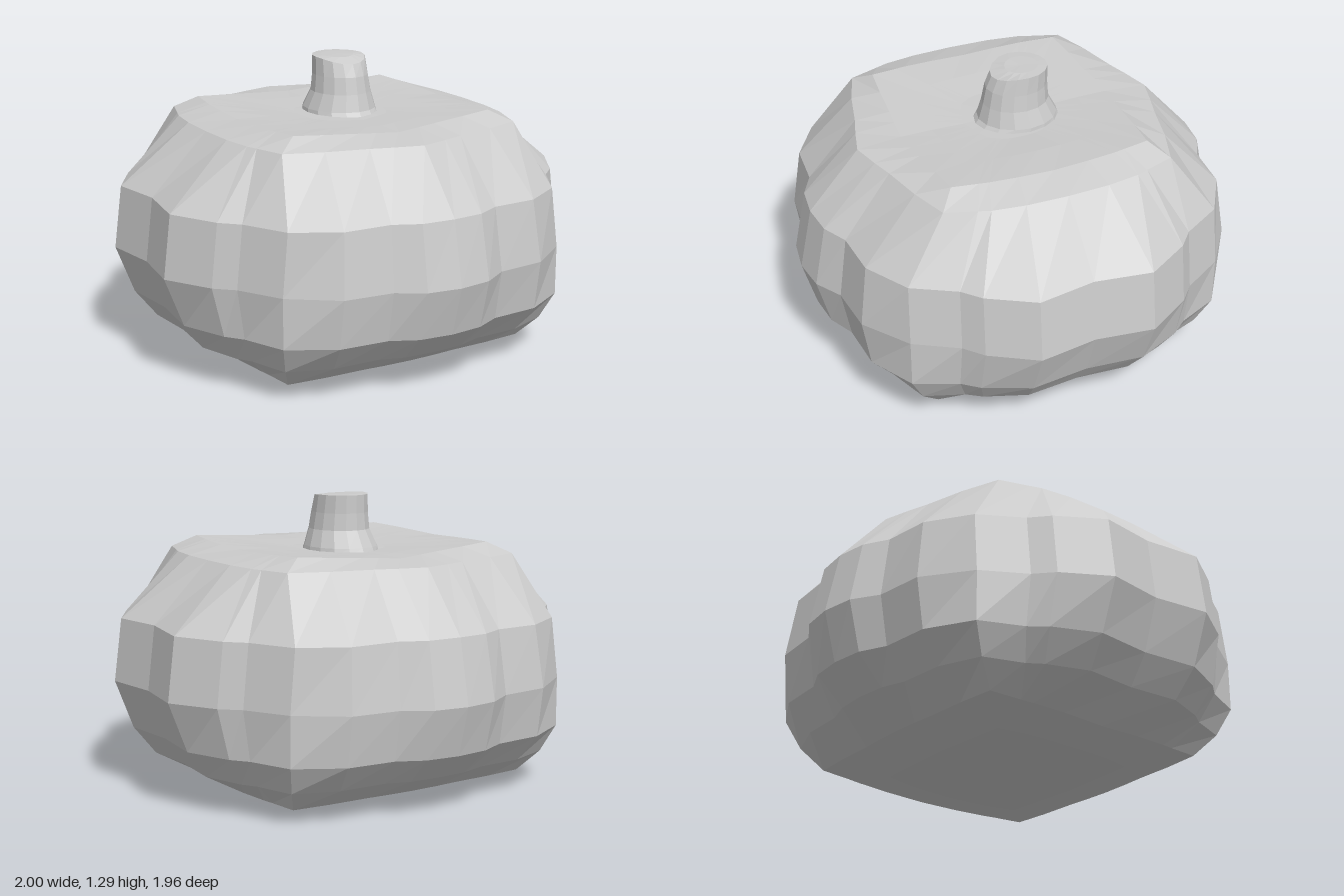
import * as THREE from 'three';

const material = new THREE.MeshStandardMaterial({ color: 0xcccccc, flatShading: true });
const mix = THREE.MathUtils.lerp;

// Skin closed loops (bottom to top, counter-clockwise from above) and cap both ends.
function loft(name, loops) {
  const n = loops[0].length;
  const points = loops.flat();
  const index = [];
  for (let r = 0; r < loops.length - 1; r++) {
    for (let j = 0; j < n; j++) {
      const a = r * n + j, b = r * n + (j + 1) % n;
      index.push(a, b, b + n, a, b + n, a + n);
    }
  }
  const cap = (start, up) => {
    const centre = new THREE.Vector3();
    for (let j = 0; j < n; j++) centre.addScaledVector(points[start + j], 1 / n);
    const c = points.push(centre) - 1;
    for (let j = 0; j < n; j++) {
      const a = start + j, b = start + (j + 1) % n;
      if (up) index.push(c, a, b);
      else index.push(c, b, a);
    }
  };
  const last = (loops.length - 1) * n;
  cap(0, false);
  cap(last, true);
  const geometry = new THREE.BufferGeometry().setFromPoints(points);
  geometry.setIndex(index);
  geometry.computeVertexNormals();
  const mesh = new THREE.Mesh(geometry, material);
  mesh.name = name;
  return mesh;
}

// Ribs of a half side, from its middle to the corner:
// position along the side, bulge when grooved, bulge when plain.
const sideRibs = [[0, 1, 1], [0.36, 1.13, 0.93], [0.64, 0.69, 0.7], [0.74, 0.4, 0.5], [1, 0, 0]];
const frontRibs = [[0, 1, 1], [0.22, 0.92, 0.8], [0.39, 0.64, 0.62], [0.71, 0.56, 0.35], [1, 0, 0]];

// One ribbed, square-ish ring: side middle x, front middle z, corner x and z,
// heights at side, front and corner, and groove depth.
function bodyRing([sx, fz, cx, cz, ySide, yFront, yCorner, groove]) {
  const quarter = [];
  for (const [t, deep, plain] of sideRibs) {
    const w = mix(plain, deep, groove);
    quarter.push([mix(cx, sx, w), mix(ySide, yCorner, t), t * cz]);
  }
  for (const [t, deep, plain] of frontRibs.slice(0, 4).reverse()) {
    const w = mix(plain, deep, groove);
    quarter.push([t * cx, mix(yFront, yCorner, t), mix(cz, fz, w)]);
  }
  const loop = [];
  for (const [mx, mz, reverse] of [[1, -1, 0], [-1, -1, 1], [-1, 1, 0], [1, 1, 1]]) {
    const order = reverse ? [...quarter].reverse() : quarter;
    for (const [x, y, z] of order.slice(0, 8)) loop.push(new THREE.Vector3(x * mx, y, z * mz));
  }
  return loop;
}

// One stem ring: x and z extents, height, and how far its front edge drops.
function stemRing([x0, x1, z0, z1, y, drop]) {
  return Array.from({ length: 16 }, (_, j) => {
    const a = j / 16 * Math.PI * 2;
    const front = Math.max(0, -Math.sin(a));
    return new THREE.Vector3(
      mix(x0, x1, 0.5 + 0.5 * Math.cos(a)),
      y - drop * front * front,
      mix(z0, z1, 0.5 - 0.5 * Math.sin(a)));
  });
}

export function createModel() {
  const group = new THREE.Group();
  group.name = 'pumpkin';

  // Ribbed body, from the flat underside to the sunken top
  group.add(loft('body', [
    [0.42, 0.38, 0.38, 0.36, 0.0, 0.005, 0.005, 0],
    [0.62, 0.6, 0.59, 0.57, 0.03, 0.045, 0.045, 0.6],
    [0.80, 0.79, 0.65, 0.66, 0.145, 0.15, 0.145, 1],
    [0.89, 0.92, 0.69, 0.72, 0.27, 0.27, 0.27, 1],
    [0.965, 0.98, 0.69, 0.72, 0.49, 0.49, 0.49, 1],
    [0.93, 0.92, 0.66, 0.71, 0.77, 0.77, 0.76, 1],
    [0.67, 0.69, 0.58, 0.52, 1.03, 1.03, 1.03, 0],
    [0.52, 0.49, 0.49, 0.45, 1.065, 1.045, 1.08, 0],
    [0.35, 0.35, 0.31, 0.31, 1.06, 1.045, 1.06, 0],
    [0.2, 0.2, 0.15, 0.15, 1.045, 1.04, 1.045, 0],
  ].map(bodyRing)));

  // Short stem with a flared foot and a rounded front edge
  group.add(loft('stem', [
    [-0.145, 0.185, -0.24, 0.16, 1.03, 0],
    [-0.14, 0.18, -0.225, 0.135, 1.06, 0],
    [-0.11, 0.155, -0.185, 0.115, 1.135, 0],
    [-0.1, 0.145, -0.18, 0.1, 1.21, 0],
    [-0.095, 0.14, -0.18, 0.075, 1.29, 0.025],
    [-0.05, 0.095, -0.14, 0.01, 1.292, 0.004],
  ].map(stemRing)));

  return group;
}
